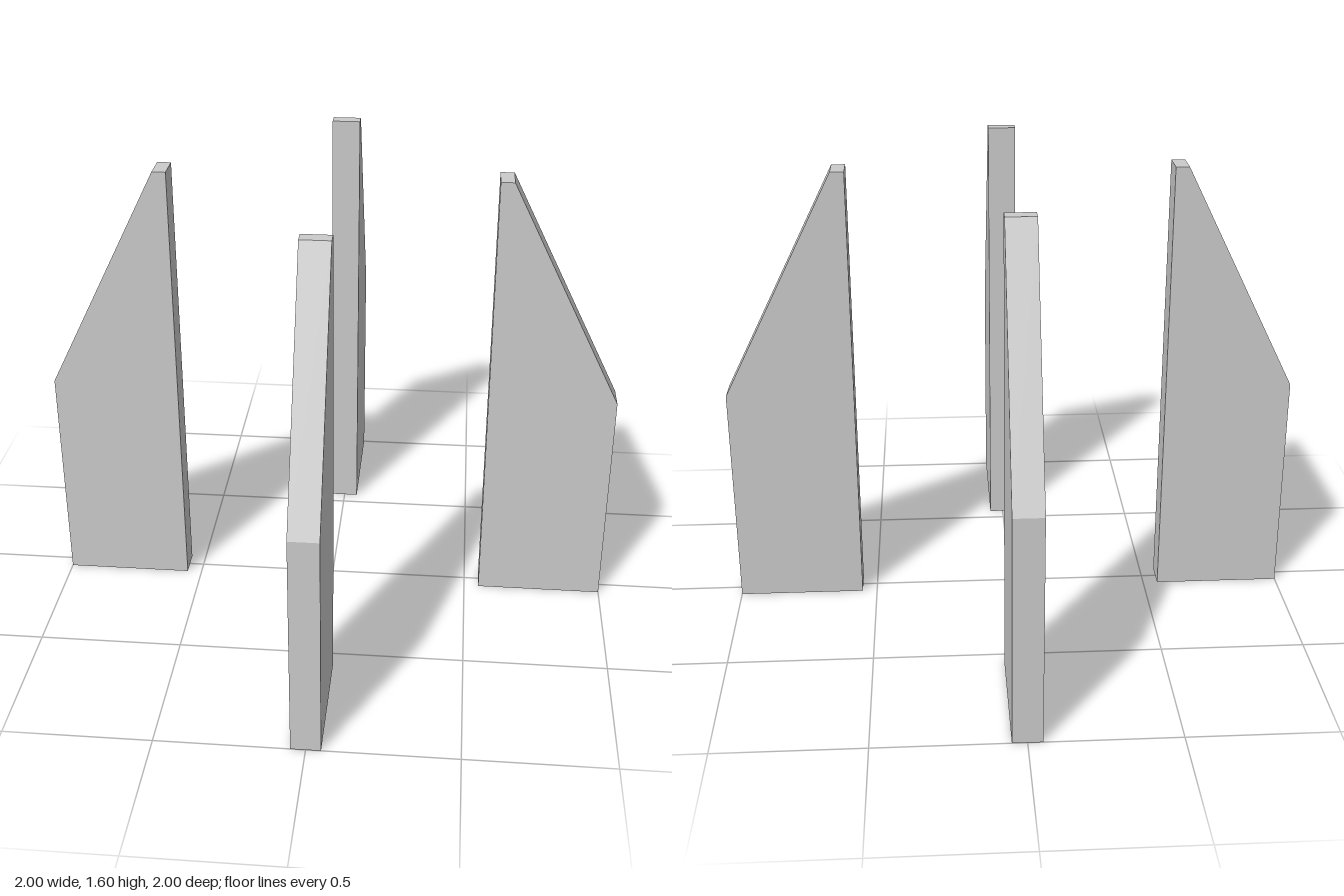
import * as THREE from 'three';

export function createModel() {
  const model = new THREE.Group();
  model.name = 'finSet';
  const material = new THREE.MeshStandardMaterial({ color: 0xcccccc, flatShading: true });

  // Fin outline: upright inner edge, outer edge sloping in above mid-height
  const thickness = 0.1;
  const outline = new THREE.Shape([
    [0.553, 0], [1, 0], [1, 0.8], [0.6, 1.6], [0.553, 1.6],
  ].map(([x, y]) => new THREE.Vector2(x, y)));
  const geometry = new THREE.ExtrudeGeometry(outline, { depth: thickness, bevelEnabled: false });
  geometry.translate(0, 0, -thickness / 2);

  // Four fins spaced evenly around the vertical axis
  ['leftFin', 'backFin', 'rightFin', 'frontFin'].forEach((name, i) => {
    const fin = new THREE.Mesh(geometry, material);
    fin.name = name;
    fin.rotation.y = i * Math.PI / 2;
    model.add(fin);
  });

  return model;
}
